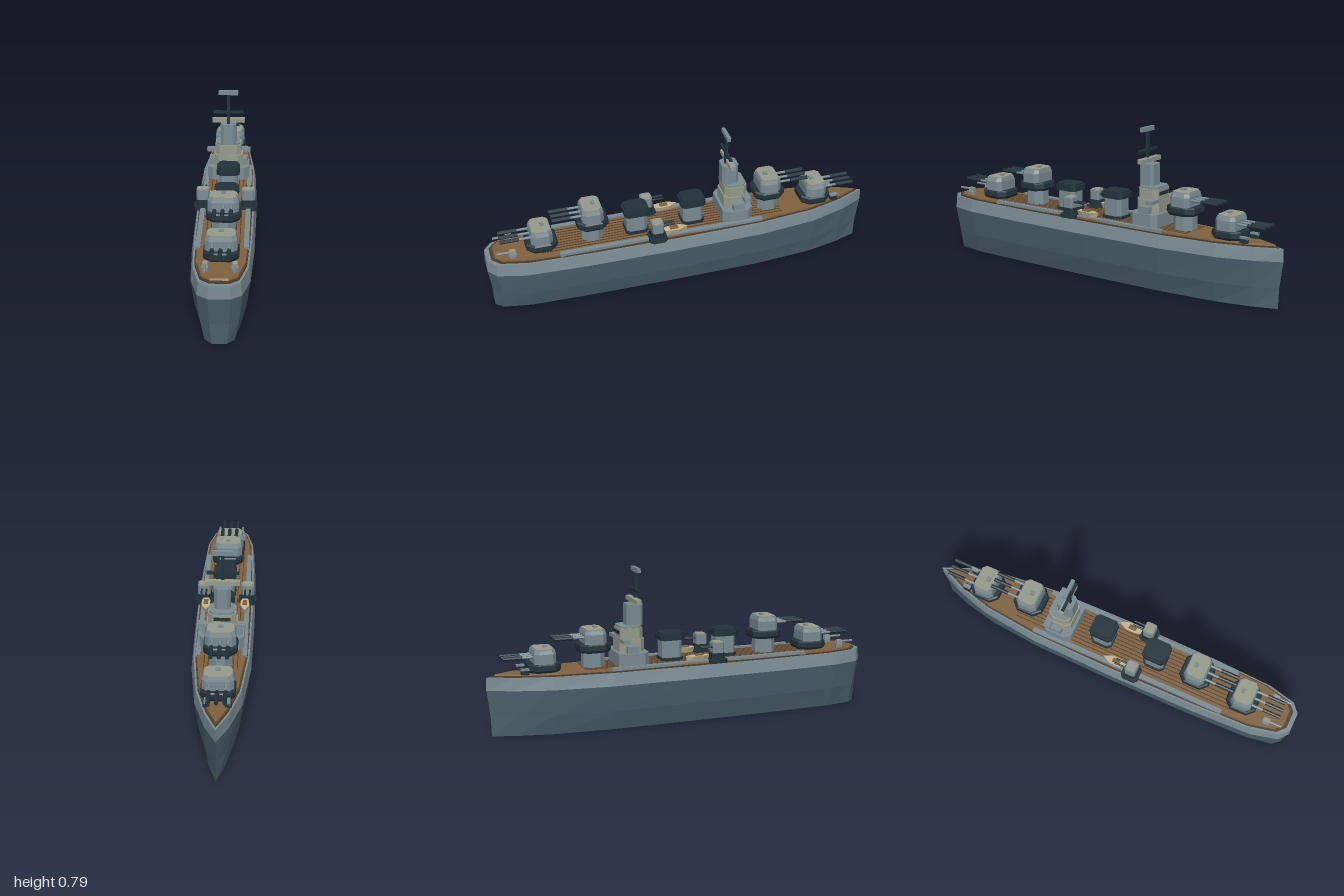
import * as THREE from 'three';

const paint = (name, color) => Object.assign(new THREE.MeshStandardMaterial({ color, flatShading: true }), { name });
const steel = paint('steel grey', 0x7a8b93);
const hullBlue = paint('hull blue grey', 0x4b616d);
const dark = paint('dark slate', 0x22333b);
const wood = paint('deck wood', 0x80613f);
const seam = paint('deck seam', 0x523e2a);
const pale = paint('pale grey green', 0x979b8b);
const cream = paint('boat cream', 0xc4b48e);

// Stack scaled copies of a convex outline; levels are [y, scaleX, scaleZ].
function loft(outline, levels) {
  const pos = [];
  const n = outline.length;
  const p = ([y, sx, sz], i) => [outline[i % n][0] * sx, y, outline[i % n][1] * sz];
  const tri = (a, b, c) => pos.push(...a, ...b, ...c);
  for (let k = 0; k < levels.length - 1; k++) {
    for (let i = 0; i < n; i++) {
      const a = p(levels[k], i), b = p(levels[k], i + 1);
      const c = p(levels[k + 1], i + 1), d = p(levels[k + 1], i);
      tri(a, b, c);
      tri(a, c, d);
    }
  }
  const lo = levels[0], hi = levels[levels.length - 1];
  for (let i = 1; i < n - 1; i++) {
    tri(p(hi, 0), p(hi, i), p(hi, i + 1));
    tri(p(lo, 0), p(lo, i + 1), p(lo, i));
  }
  const g = new THREE.BufferGeometry();
  g.setAttribute('position', new THREE.Float32BufferAttribute(pos, 3));
  g.computeVertexNormals();
  return g;
}

// Rectangle with cut corners, given as half sizes.
const cutRect = (w, d, c) => [
  [w - c, d], [w, d - c], [w, c - d], [w - c, -d],
  [c - w, -d], [-w, c - d], [-w, d - c], [c - w, d],
];

function add(parent, name, geometry, material, x = 0, y = 0, z = 0) {
  const mesh = new THREE.Mesh(geometry, material);
  mesh.name = name;
  mesh.position.set(x, y, z);
  parent.add(mesh);
  return mesh;
}

const box = (parent, name, mat, w, h, d, x, y, z) =>
  add(parent, name, new THREE.BoxGeometry(w, h, d), mat, x, y, z);

// Block with cut corners between two heights, with an optional taper.
const block = (parent, name, mat, w, d, c, y0, y1, x = 0, z = 0, taper = 1) =>
  add(parent, name, loft(cutRect(w, d, c), [[y0, 1, 1], [y1, taper, taper]]), mat, x, 0, z);

function barrel(parent, name, mat, r, z0, z1, x, y) {
  const g = new THREE.CylinderGeometry(r, r, z1 - z0, 8).rotateX(Math.PI / 2);
  return add(parent, name, g, mat, x, y, (z0 + z1) / 2);
}

function group(parent, name, x, y, z, turned = false) {
  const g = new THREE.Group();
  g.name = name;
  g.position.set(x, y, z);
  if (turned) g.rotation.y = Math.PI;
  parent.add(g);
  return g;
}

// Triple gun turret; its ring starts at y = 0 and the guns point to +z.
function mainTurret(parent, z, y, turned) {
  const t = group(parent, 'mainTurret', 0, y, z, turned);
  add(t, 'turretRing', loft(cutRect(0.082, 0.08, 0.036),
    [[0, 0.92, 0.92], [0.012, 1, 1], [0.036, 0.98, 0.98], [0.042, 0.9, 0.9]]), dark);
  add(t, 'turretHouse', loft(cutRect(0.074, 0.054, 0.02),
    [[0.04, 1, 1], [0.09, 1, 1], [0.108, 0.9, 0.92]]), steel);
  block(t, 'turretRoof', pale, 0.062, 0.045, 0.016, 0.107, 0.114);
  box(t, 'roofHatch', steel, 0.024, 0.008, 0.02, 0, 0.117, -0.012);
  for (const x of [-0.038, 0, 0.038]) {
    barrel(t, 'gunSleeve', steel, 0.0065, 0.045, 0.12, x, 0.076);
    barrel(t, 'gunBarrel', dark, 0.0095, 0.11, 0.205, x, 0.076);
  }
}

export function createModel() {
  const ship = new THREE.Group();
  ship.name = 'battleship';

  // Hull outline at its widest level, from the stern along the left side to the bow.
  const half = [[0.05, 1], [0.1, 0.96], [0.135, 0.82], [0.148, 0.5], [0.152, 0.05],
    [0.145, -0.4], [0.112, -0.7], [0.058, -0.88]];
  const outline = [...half, [0, -1], ...half.map(([x, z]) => [-x, z]).reverse()];
  add(ship, 'lowerHull', loft(outline, [[0, 0.67, 0.98], [0.1, 0.87, 0.983], [0.23, 1, 1]]), hullBlue);
  add(ship, 'upperHull', loft(outline, [[0.23, 1, 1], [0.293, 0.93, 0.998]]), steel);
  add(ship, 'waterway', loft(outline, [[0.29, 0.87, 0.975], [0.3, 0.87, 0.975]]), seam);
  add(ship, 'deck', loft(outline, [[0.298, 0.83, 0.96], [0.308, 0.82, 0.955]]), wood);
  for (let i = -4; i <= 4; i++) {
    box(ship, 'deckSeam', seam, 0.004, 0.003, 1.25, i * 0.02, 0.3085, 0.1);
  }
  for (const s of [-1, 1]) {
    box(ship, 'sideWalk', steel, 0.024, 0.018, 1.05, s * 0.112, 0.306, 0.12);
  }

  // Main armament: low and raised turrets fore and aft.
  for (const [z, turned] of [[0.72, false], [-0.72, true]]) mainTurret(ship, z, 0.309, turned);
  for (const [z, turned] of [[0.46, false], [-0.465, true]]) {
    add(ship, 'barbette', new THREE.CylinderGeometry(0.057, 0.06, 0.085, 8).rotateY(Math.PI / 8),
      steel, 0, 0.35, z);
    mainTurret(ship, z, 0.386, turned);
  }

  // Funnels
  for (const z of [0.235, -0.058]) {
    const f = group(ship, 'funnel', 0.006, 0, z);
    block(f, 'funnelFoot', dark, 0.056, 0.058, 0.018, 0.305, 0.322);
    block(f, 'funnelTrunk', steel, 0.048, 0.052, 0.016, 0.31, 0.42);
    block(f, 'funnelCap', dark, 0.058, 0.064, 0.018, 0.412, 0.438);
    block(f, 'funnelTop', dark, 0.05, 0.056, 0.016, 0.437, 0.448);
  }

  // Bridge and tower
  const b = group(ship, 'bridge', 0, 0, -0.28);
  block(b, 'bridgeBase', steel, 0.108, 0.078, 0.025, 0.305, 0.375);
  block(b, 'bridgeMiddle', pale, 0.075, 0.064, 0.024, 0.375, 0.44);
  block(b, 'bridgeUpper', pale, 0.068, 0.058, 0.022, 0.44, 0.493);
  block(b, 'bridgeRoof', steel, 0.062, 0.054, 0.02, 0.492, 0.502);
  box(b, 'bridgeWing', steel, 0.23, 0.018, 0.036, 0, 0.436, -0.045);
  box(b, 'bridgeWindows', dark, 0.08, 0.018, 0.006, 0, 0.47, -0.057);
  block(b, 'tower', steel, 0.04, 0.042, 0.014, 0.5, 0.608, 0, 0.025);
  box(b, 'rangefinder', pale, 0.168, 0.022, 0.026, 0, 0.624, 0.03);
  box(b, 'mast', dark, 0.015, 0.16, 0.015, 0, 0.68, 0.04);
  box(b, 'mastYard', dark, 0.156, 0.013, 0.014, 0, 0.67, 0.04);
  box(b, 'radar', steel, 0.1, 0.022, 0.018, 0, 0.775, 0.042);
  for (const s of [-1, 1]) {
    box(b, 'wingStation', steel, 0.03, 0.035, 0.06, s * 0.085, 0.392, -0.005);
  }

  // Parts mirrored on both sides
  for (const s of [-1, 1]) {
    const m = group(ship, 'secondaryMount', s * 0.112, 0, 0.15);
    block(m, 'mountPlatform', dark, 0.046, 0.046, 0.016, 0.3, 0.318);
    block(m, 'mountRing', dark, 0.034, 0.034, 0.014, 0.318, 0.35);
    block(m, 'mountHouse', steel, 0.032, 0.029, 0.008, 0.348, 0.4);
    block(m, 'mountRoof', pale, 0.026, 0.023, 0.007, 0.399, 0.405);
    for (const x of [-0.012, 0.012]) barrel(m, 'mountGun', dark, 0.005, -0.09, -0.02, x, 0.38);

    const boat = group(ship, 'boat', s * 0.1, 0, 0.05);
    const plan = [[0.014, 0.06], [0.022, 0.03], [0.022, -0.02], [0, -0.062],
      [-0.022, -0.02], [-0.022, 0.03], [-0.014, 0.06]];
    add(boat, 'boatHull', loft(plan, [[0.312, 0.6, 0.85], [0.338, 1, 1]]), cream);
    box(boat, 'boatCabin', wood, 0.022, 0.008, 0.04, 0, 0.341, 0.01);

    // Light guns near the stern and the bow
    for (const [x, z, dir] of [[0.066, 0.87, 1], [0.05, -0.82, -1]]) {
      const g = group(ship, 'lightGun', s * x, 0, z, dir < 0);
      block(g, 'lightGunBase', dir > 0 ? steel : dark, 0.016, 0.02, 0.006, 0.305, 0.325);
      if (dir > 0) {
        box(g, 'lightGunShield', pale, 0.022, 0.022, 0.03, 0, 0.335, 0);
        barrel(g, 'lightGunBarrel', steel, 0.006, 0.01, 0.08, 0, 0.337);
      } else {
        box(g, 'lightGunShield', steel, 0.02, 0.014, 0.04, 0, 0.327, 0);
      }
    }
  }

  return ship;
}
